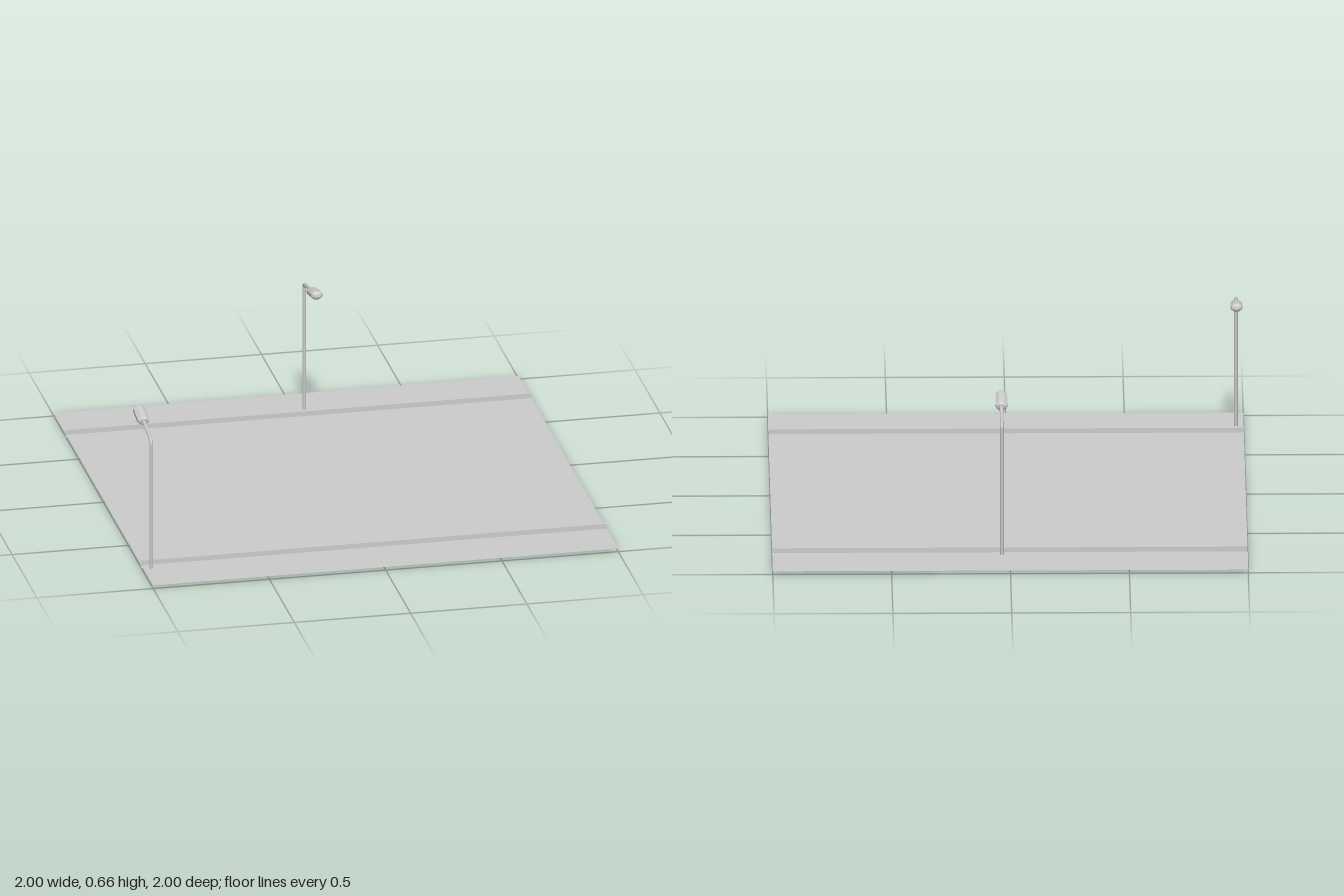
import * as THREE from 'three';

const grey = new THREE.MeshStandardMaterial({ color: 0xcccccc, side: THREE.DoubleSide });
const flatGrey = new THREE.MeshStandardMaterial({ color: 0xcccccc, flatShading: true, side: THREE.DoubleSide });

function addMesh(parent, name, geometry, material = grey) {
  const mesh = new THREE.Mesh(geometry, material);
  mesh.name = name;
  parent.add(mesh);
  return mesh;
}

// Long kerb strip, open at both ends (the box's two x faces are dropped)
function kerbGeometry() {
  const box = new THREE.BoxGeometry(2, 0.035, 0.022);
  box.setIndex(Array.from(box.index.array).slice(12));
  box.clearGroups();
  return box;
}

// Street lamp: its arm reaches towards local +z
function streetLamp(name) {
  const lamp = new THREE.Group();
  lamp.name = name;
  const v = (y, z) => new THREE.Vector3(0, y, z);

  // Upright post, tight bend and sloping arm as one tube
  const path = new THREE.CurvePath();
  path.add(new THREE.LineCurve3(v(0.01, 0), v(0.575, 0)));
  path.add(new THREE.QuadraticBezierCurve3(v(0.575, 0), v(0.591, 0), v(0.594, 0.016)));
  path.add(new THREE.LineCurve3(v(0.594, 0.016), v(0.622, 0.165)));
  addMesh(lamp, 'pole', new THREE.TubeGeometry(path, 90, 0.008, 8));

  // Tapered lamp head, flattened octagon in section
  const profile = [
    [0, 0], [0.018, 0], [0.024, 0.004], [0.0265, 0.013], [0.0275, 0.06],
    [0.0265, 0.1], [0.022, 0.112], [0.012, 0.118], [0, 0.119],
  ].map(([r, s]) => new THREE.Vector2(r, s));
  const head = new THREE.LatheGeometry(profile, 8, Math.PI / 8);
  head.scale(1, 1, 0.75);
  head.rotateX(Math.PI / 2 - 0.186);
  head.translate(0, 0.619, 0.151);
  addMesh(lamp, 'lampHead', head, flatGrey);
  return lamp;
}

export function createModel() {
  const model = new THREE.Group();
  model.name = 'roadSection';

  // Road surface, a thin sheet
  const road = addMesh(model, 'roadSurface', new THREE.PlaneGeometry(2, 2));
  road.rotation.x = -Math.PI / 2;
  road.position.y = 0.014;

  // Kerbs along both sides
  for (const side of [1, -1]) {
    const kerb = addMesh(model, side > 0 ? 'frontKerb' : 'backKerb', kerbGeometry());
    kerb.position.set(0, 0.0175, side * 0.756);
  }

  // Staggered lamps, both reaching over the road
  const frontLamp = streetLamp('frontLamp');
  frontLamp.position.set(-0.967, 0, 0.808);
  frontLamp.rotation.y = Math.PI;
  const backLamp = streetLamp('backLamp');
  backLamp.position.set(0.034, 0, -0.798);
  model.add(frontLamp, backLamp);

  return model;
}
